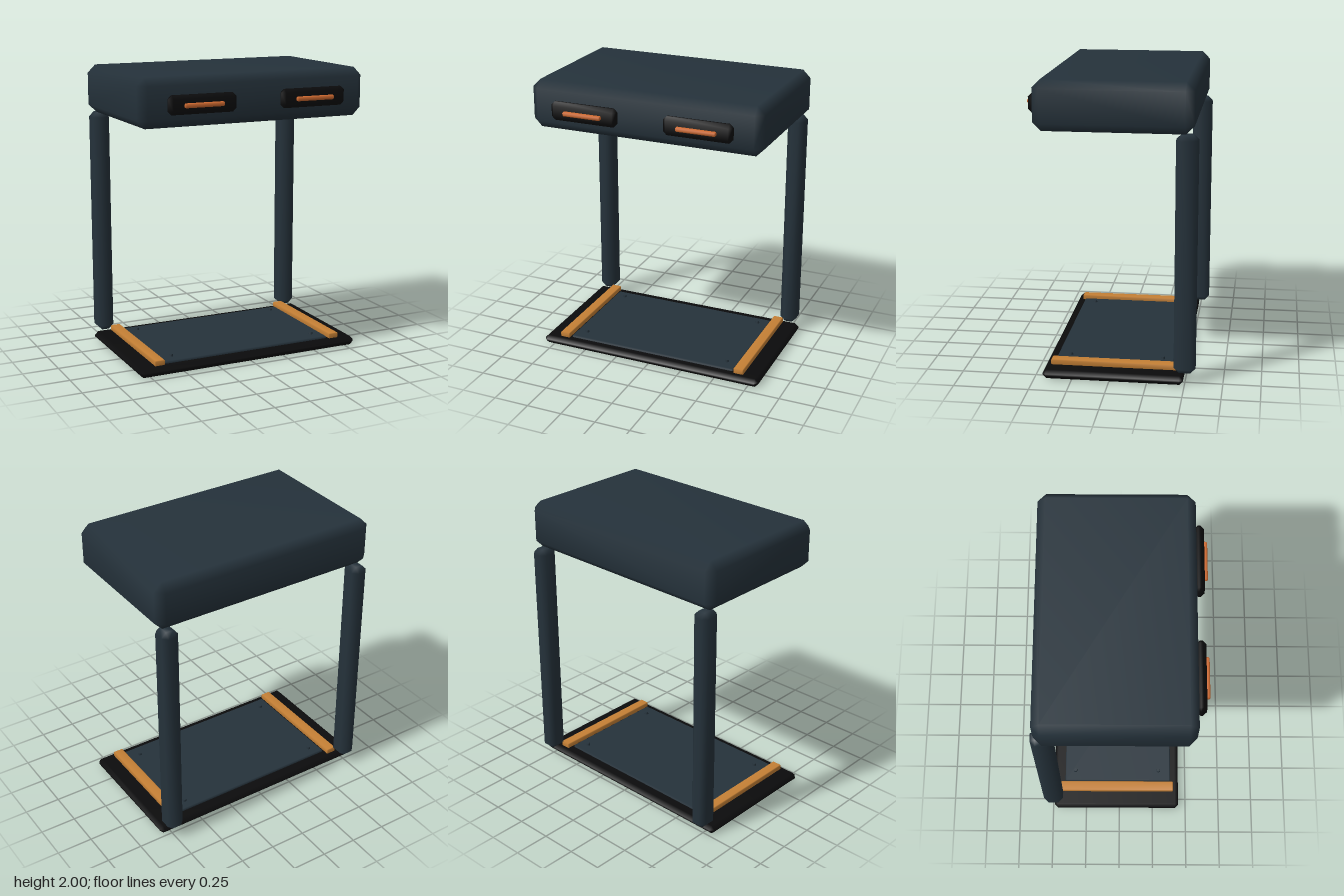
import * as THREE from 'three';

const material = (name, color) => {
  const m = new THREE.MeshStandardMaterial({ color });
  m.name = name;
  return m;
};

// Box with every edge cut by one chamfer of size c, softly shaded
function chamferBox(w, h, d, c) {
  const half = [w / 2, h / 2, d / 2], pos = [], index = [];
  // vertex (corner, axis): on the face of that axis, inset along the other two
  for (let k = 0; k < 8; k++)
    for (let a = 0; a < 3; a++)
      for (let i = 0; i < 3; i++)
        pos.push((k >> i & 1 ? 1 : -1) * (half[i] - (i === a ? 0 : c)));
  const v = (k, a) => k * 3 + a;
  const at = (i) => new THREE.Vector3().fromArray(pos, i * 3);
  // adds a triangle, turned so that it faces away from the centre
  const tri = (p, q, r) => {
    const n = at(q).sub(at(p)).cross(at(r).sub(at(p)));
    const mid = at(p).add(at(q)).add(at(r));
    index.push(...(n.dot(mid) > 0 ? [p, q, r] : [p, r, q]));
  };
  const quad = (p, q, r, s) => { tri(p, q, r); tri(p, r, s); };
  for (let a = 0; a < 3; a++) {
    const b = (a + 1) % 3, e = (a + 2) % 3, A = 1 << a, B = 1 << b, E = 1 << e;
    for (const k of [0, A]) quad(v(k, a), v(k | B, a), v(k | B | E, a), v(k | E, a));
    for (const k of [0, B, E, B | E]) quad(v(k, b), v(k | A, b), v(k | A, e), v(k, e));
  }
  for (let k = 0; k < 8; k++) tri(v(k, 0), v(k, 1), v(k, 2));
  const g = new THREE.BufferGeometry();
  g.setAttribute('position', new THREE.Float32BufferAttribute(pos, 3));
  g.setIndex(index);
  g.computeVertexNormals();
  return g;
}

export function createModel() {
  const slate = material('slate', 0x25323b);
  const black = material('black', 0x0b0b0c);
  const copper = material('copper', 0xc58035);
  const orange = material('orange', 0xcf6a30);
  const model = new THREE.Group();
  model.name = 'rack';

  // Adds a chamfered block from its minimum and maximum on each axis
  const block = (name, mat, [x0, x1], [y0, y1], [z0, z1], c) => {
    const mesh = new THREE.Mesh(chamferBox(x1 - x0, y1 - y0, z1 - z0, c), mat);
    mesh.position.set((x0 + x1) / 2, (y0 + y1) / 2, (z0 + z1) / 2);
    mesh.name = name;
    model.add(mesh);
  };

  // Upper case and base
  block('upperCase', slate, [-0.822, 0.822], [1.67, 2], [-0.542, 0.49], 0.055);
  block('base', black, [-0.822, 0.822], [0.004, 0.065], [-0.49, 0.445], 0.024);
  block('basePlate', slate, [-0.625, 0.625], [0.05, 0.08], [-0.41, 0.385], 0.008);

  for (const [side, s] of [['left', 1], ['right', -1]]) {
    const span = (a, b) => (s > 0 ? [a, b] : [-b, -a]);

    // Rear post and base rail
    block(side + 'Post', slate, span(0.683, 0.803), [0.075, 1.667], [-0.568, -0.425], 0.034);
    block(side + 'Rail', copper, span(0.633, 0.706), [0.062, 0.102], [-0.455, 0.405], 0.006);

    // Recess panel and handle bar on the front
    block(side + 'HandlePanel', black, span(0.165, 0.64), [1.76, 1.886], [0.482, 0.546], 0.024);
    block(side + 'HandleBar', orange, span(0.265, 0.54), [1.805, 1.835], [0.535, 0.568], 0.007);

    // Screws on the base plate
    for (const z of [-0.335, 0.295]) {
      const screw = new THREE.Mesh(new THREE.CylinderGeometry(0.012, 0.016, 0.025, 12), slate);
      screw.position.set(s * 0.545, 0.083, z);
      screw.name = side + 'Screw';
      model.add(screw);
    }
  }
  return model;
}
